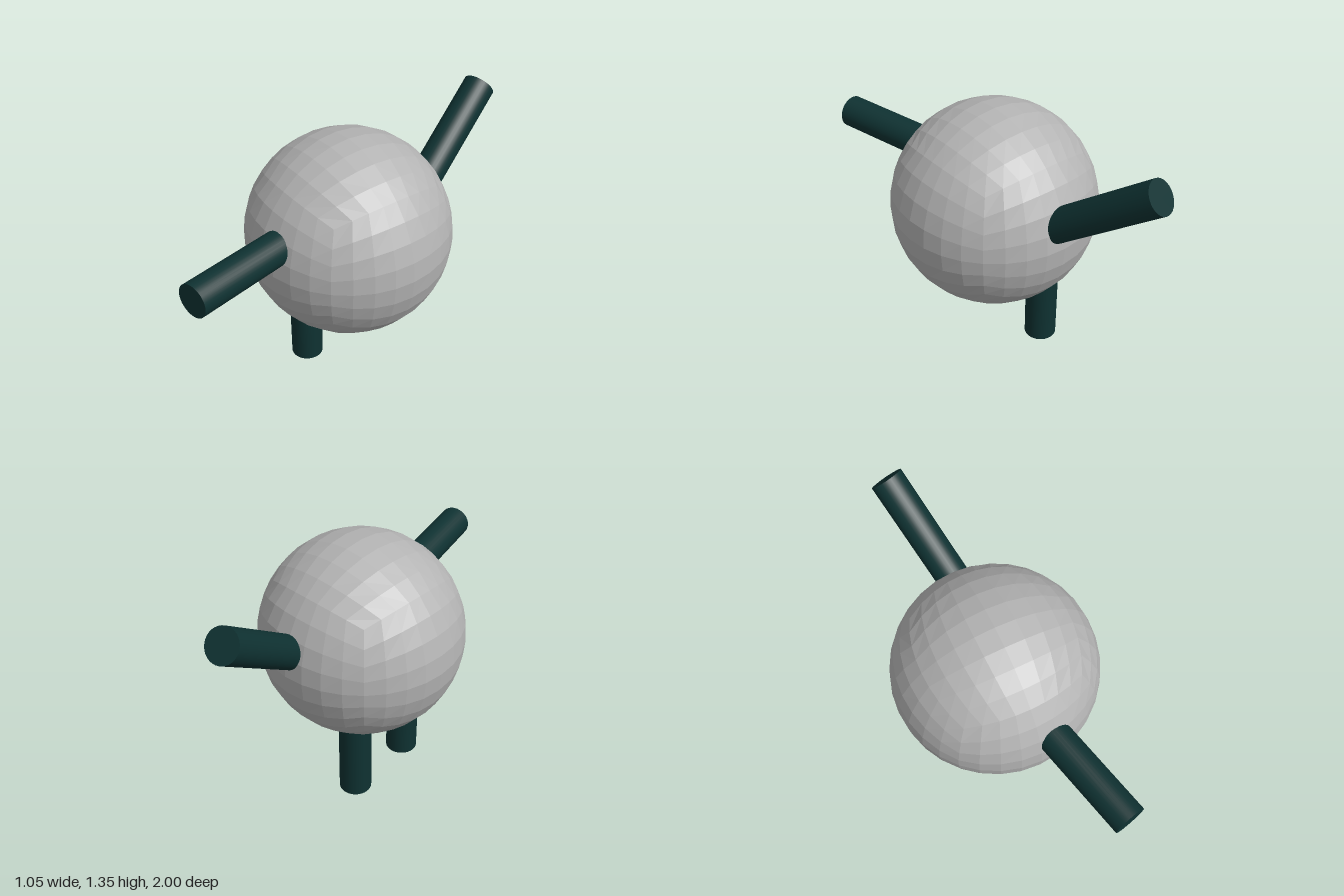
import * as THREE from 'three';

export function createModel() {
  const model = new THREE.Group();
  model.name = 'ballCreature';

  const bodyGrey = new THREE.MeshStandardMaterial({ color: 0xb4b4b4 });
  bodyGrey.name = 'body grey';
  const darkTeal = new THREE.MeshStandardMaterial({ color: 0x0f3232 });
  darkTeal.name = 'dark teal';

  // Faceted round body: a subdivided cube pushed out to a sphere
  const radius = 0.523;
  const box = new THREE.BoxGeometry(2, 2, 2, 8, 8, 8);
  const pos = box.attributes.position;
  const v = new THREE.Vector3();
  const even = (c) => Math.tan(c * Math.PI / 4); // equal angles per facet
  for (let i = 0; i < pos.count; i++) {
    v.fromBufferAttribute(pos, i);
    v.set(even(v.x), even(v.y), even(v.z)).setLength(radius);
    pos.setXYZ(i, v.x, v.y, v.z);
  }
  const ball = box.toNonIndexed();
  ball.computeVertexNormals();
  const body = new THREE.Mesh(ball, bodyGrey);
  body.name = 'body';
  body.position.y = 0.82;
  model.add(body);

  // Straight round limb from a point inside the body to its outer end
  function limb(name, from, to) {
    const a = new THREE.Vector3(...from);
    const b = new THREE.Vector3(...to);
    const dir = b.clone().sub(a);
    const mesh = new THREE.Mesh(
      new THREE.CylinderGeometry(0.084, 0.084, dir.length(), 32), darkTeal);
    mesh.name = name;
    mesh.position.copy(a).add(b).multiplyScalar(0.5);
    mesh.quaternion.setFromUnitVectors(new THREE.Vector3(0, 1, 0), dir.normalize());
    model.add(mesh);
  }

  // Legs
  limb('frontLeg', [-0.124, 0.5, 0.19], [-0.124, 0.013, 0.19]);
  limb('backLeg', [-0.153, 0.5, -0.207], [-0.153, 0, -0.207]);

  // Arms
  limb('frontArm', [0.065, 0.96, 0.4], [0.207, 0.978, 0.98]);
  limb('backArm', [0.03, 0.875, -0.4], [-0.122, 1.285, -0.948]);

  return model;
}
